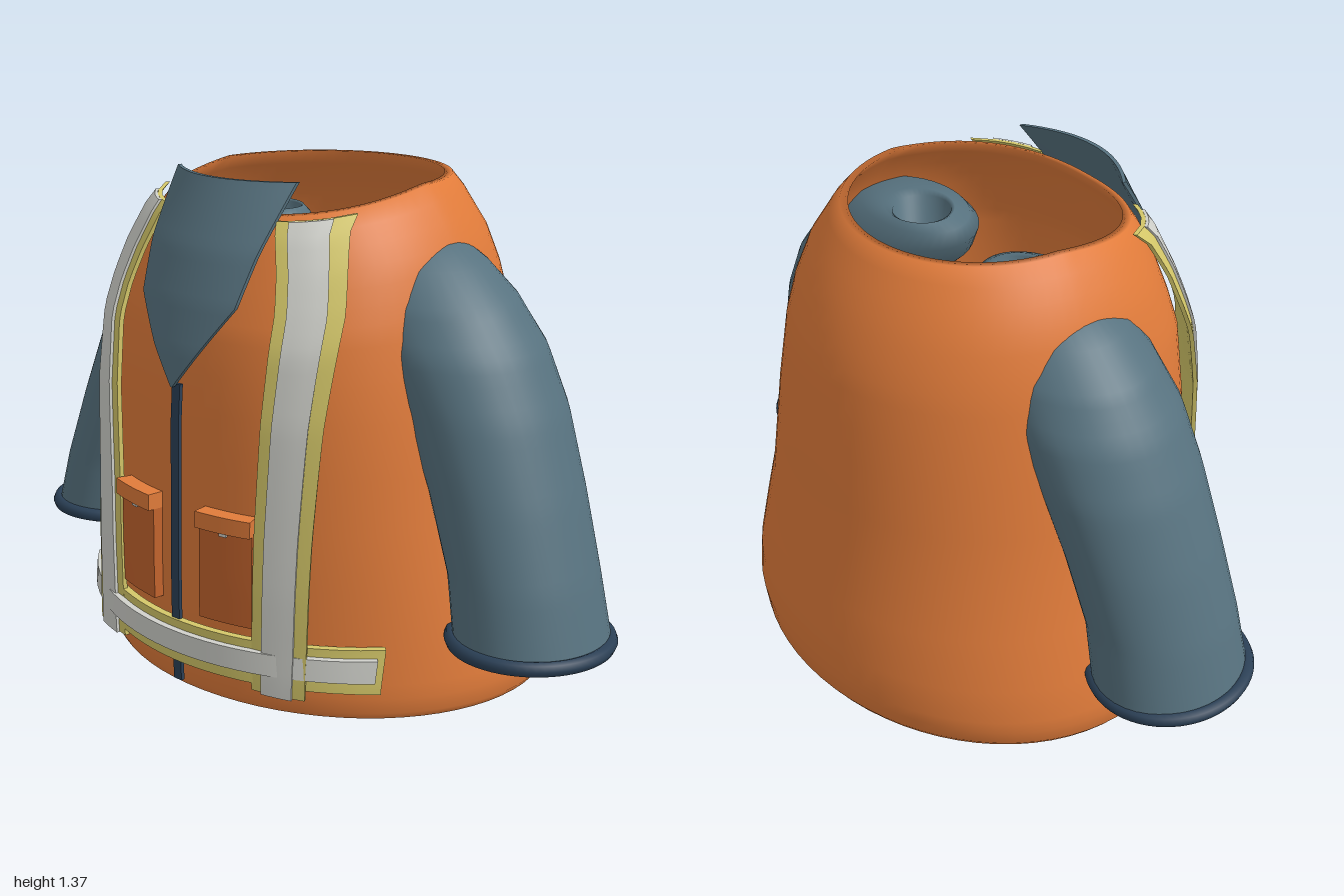
import * as THREE from 'three';

const mat = (name, color, side = THREE.FrontSide) =>
  Object.assign(new THREE.MeshStandardMaterial({ color, side }), { name });

// Body profile rows: height, half width, front z, back z, squareness of the front
const BODY = [
  [0, 0.675, 0.545, -0.585, 2], [0.02, 0.69, 0.555, -0.598, 2], [0.1, 0.69, 0.557, -0.61, 2],
  [0.2, 0.67, 0.557, -0.607, 2], [0.35, 0.635, 0.555, -0.585, 2.1], [0.5, 0.6, 0.55, -0.56, 2.2],
  [0.8, 0.555, 0.54, -0.53, 2.35], [1.0, 0.52, 0.52, -0.503, 2.4], [1.1, 0.495, 0.49, -0.475, 2.4],
  [1.2, 0.46, 0.455, -0.433, 2.4], [1.3, 0.4, 0.42, -0.375, 2.4], [1.34, 0.365, 0.4, -0.347, 2.4],
];

// Linear lookup in a table keyed by its first column
function lookup(table, t) {
  let i = 0;
  while (i < table.length - 2 && t > table[i + 1][0]) i++;
  const a = table[i], b = table[i + 1];
  const k = THREE.MathUtils.clamp((t - a[0]) / (b[0] - a[0]), 0, 1);
  return a.slice(1).map((v, j) => v + (b[j + 1] - v) * k);
}

// The neckline sinks towards the front
const sink = (y, z) => y - 0.15 * Math.max(z, 0) * Math.pow(y / 1.34, 4);

// Joins closed rings of points into a smooth skin
function loft(rings) {
  const n = rings[0].length, idx = [];
  for (let i = 0; i < rings.length - 1; i++)
    for (let j = 0; j < n; j++) {
      const a = i * n + j, c = i * n + (j + 1) % n;
      idx.push(a, a + n, c, c, a + n, c + n);
    }
  const g = new THREE.BufferGeometry();
  g.setAttribute('position', new THREE.Float32BufferAttribute(rings.flat(2), 3));
  g.setIndex(idx);
  g.computeVertexNormals();
  return g;
}

function bodyRing(y, inset) {
  const [w, zf, zb, e] = lookup(BODY, y), zc = (zf + zb) / 2, d = (zf - zb) / 2 - inset;
  return Array.from({ length: 72 }, (_, j) => {
    const a = j / 72 * Math.PI * 2, c = Math.cos(a), s = Math.sin(a);
    const p = s > 0 ? 2 / e : 1;
    const x = (w - inset) * Math.sign(c) * Math.pow(Math.abs(c), p);
    const z = zc + d * Math.sign(s) * Math.pow(Math.abs(s), p);
    return [x, sink(y, z), z];
  });
}

// Point on the front of the body, lifted outwards; extra makes the curve flatter than the body
function onFront(x, y, lift, extra = 0) {
  const [w, zf, zb, e] = lookup(BODY, y), zc = (zf + zb) / 2, d = (zf - zb) / 2, q = e + extra;
  const f = Math.pow(1 - Math.pow(Math.min(Math.abs(x) / w, 0.99), q), 1 / q);
  const n = new THREE.Vector2(x / (w * w), f / d).normalize();
  const z = zc + d * f;
  return [x + n.x * lift, sink(y, z), z + n.y * lift];
}

// Subdivided box bent by a rule of (u, v, t), each from -0.5 to 0.5
function bent(nu, nv, rule) {
  const g = new THREE.BoxGeometry(1, 1, 1, nu, nv, 1), p = g.attributes.position;
  for (let i = 0; i < p.count; i++) p.setXYZ(i, ...rule(p.getX(i), p.getY(i), p.getZ(i)));
  g.computeVertexNormals();
  return g;
}

// Plate fitted to the body front between two lifts
const plate = (x0, x1, y0, y1, lo, hi, extra) => bent(24, 8, (u, v, t) =>
  onFront(x0 + (x1 - x0) * (u + 0.5), y0 + (y1 - y0) * (v + 0.5), lo + (hi - lo) * (t + 0.5), extra));

// Shoulder strap centre line: height, x
const STRAP = [[0.07, 0.316], [0.5, 0.322], [0.8, 0.335], [1.0, 0.342], [1.1, 0.335], [1.2, 0.312], [1.335, 0.266]];
const strap = (s, half, y0, lo, hi) => bent(4, 36, (u, v, t) => {
  const y = y0 + (1.335 - y0) * (v + 0.5);
  return onFront(s * lookup(STRAP, y)[0] + u * 2 * half, y, lo + (hi - lo) * (t + 0.5), 0.5);
});

// Sleeve rings: height, outer x, inner x, front z, back z; the last ones sink into the shoulder hole
const SLEEVE = [
  [0.23, 0.975, 0.59, 0.295, -0.15], [0.4, 0.93, 0.56, 0.28, -0.15], [0.6, 0.865, 0.48, 0.265, -0.17],
  [0.8, 0.79, 0.38, 0.255, -0.195], [0.95, 0.715, 0.26, 0.25, -0.205], [1.07, 0.625, 0.13, 0.225, -0.19],
  [1.15, 0.535, 0.08, 0.19, -0.16], [1.2, 0.45, 0.085, 0.14, -0.125], [1.22, 0.33, 0.12, 0.085, -0.1],
  [1.215, 0.29, 0.13, 0.07, -0.09], [1.13, 0.28, 0.14, 0.06, -0.08], [1.12, 0.212, 0.208, -0.008, -0.012],
];
const ovalRing = ([y, xo, xi, zf, zb], s, n = 40) => Array.from({ length: n }, (_, j) => {
  const a = s * j / n * Math.PI * 2;
  return [s * ((xo + xi) / 2 + (xo - xi) / 2 * Math.cos(a)), y, (zf + zb) / 2 + (zf - zb) / 2 * Math.sin(a)];
});

export function createModel() {
  const orange = mat('orange cloth', 0xe07b3a);
  const rust = mat('pocket orange', 0xc2632d);
  const blue = mat('blue cloth', 0x57727f, THREE.DoubleSide);
  const navy = mat('navy trim', 0x2b4056);
  const yellow = mat('yellow tape', 0xd4c769);
  const silver = mat('silver tape', 0xd0d1cb);
  const model = new THREE.Group();
  const vest = new THREE.Group();
  vest.name = 'vest';
  vest.position.x = -0.01;
  model.add(vest);
  const add = (parent, name, geo, m) => {
    const mesh = new THREE.Mesh(geo, m);
    mesh.name = name;
    parent.add(mesh);
    return mesh;
  };

  // Double-walled body shell, open at neck and hem
  const ys = [0, 0.02, 0.06, 0.1, 0.2, 0.35, 0.5, 0.65, 0.8, 0.9, 1, 1.05, 1.1, 1.15, 1.2, 1.25, 1.3, 1.34];
  const rings = [...ys.map(y => bodyRing(y, 0)), ...ys.slice().reverse().map(y => bodyRing(y, 0.022)), bodyRing(0, 0)];
  add(vest, 'body', loft(rings), orange);

  // Reflective straps, pockets and flaps on both sides
  for (const s of [1, -1]) {
    add(vest, 'strapYellow', strap(s, 0.073, 0.07, 0.002, 0.014), yellow);
    add(vest, 'strapSilver', strap(s, 0.042, 0.068, 0.014, 0.022), silver);
    const c = s * 0.16;
    add(vest, 'pocket', plate(c - 0.077, c + 0.077, 0.24, 0.5, 0, 0.028), rust);
    add(vest, 'pocketFlap', plate(c - 0.078, c + 0.078, 0.495, 0.54, 0, 0.045), orange);
    add(vest, 'pocketSnap', plate(c - 0.01, c + 0.01, 0.483, 0.497, 0.028, 0.036), silver);
  }

  // Reflective belt across the front
  add(vest, 'beltYellow', plate(-0.53, 0.518, 0.09, 0.21, 0.016, 0.036, -0.04), yellow);
  add(vest, 'beltSilver', plate(-0.524, 0.505, 0.127, 0.187, 0.036, 0.054, -0.04), silver);

  // Zip
  add(vest, 'zip', plate(-0.014, 0.014, 0.03, 0.87, 0.018, 0.029), navy);

  // Pointed front collar: height, half width, centre z, curvature
  const COLLAR = [[0.85, 0.002, 0.573, 0.9], [0.95, 0.08, 0.56, 0.9], [1.07, 0.168, 0.533, 0.9],
    [1.2, 0.19, 0.492, 1.2], [1.37, 0.215, 0.41, 1.75]];
  add(vest, 'collar', bent(16, 26, (u, v, t) => {
    const y = 1.11 + v * 0.52, [half, z, k] = lookup(COLLAR, y), x = u * 2 * half;
    return [x, y, z - k * x * x + t * 0.012];
  }), blue);

  // Sleeves with rolled cuffs
  for (const s of [1, -1]) {
    const arm = new THREE.Group();
    arm.name = s > 0 ? 'leftSleeve' : 'rightSleeve';
    model.add(arm);
    const rows = Array.from({ length: 34 }, (_, i) => 0.23 + i * 0.029).filter(y => y < 1.06)
      .map(y => [y, ...lookup(SLEEVE, y)]);
    add(arm, 'sleeve', loft([...rows, ...SLEEVE.slice(5)].map(r => ovalRing(r, s))), blue);
    const path = ovalRing([0.228, 0.977, 0.585, 0.294, -0.142], s, 24)
      .map(([x, y, z]) => new THREE.Vector3(x, y + 0.04 * (z - 0.07), z));
    add(arm, 'cuff', new THREE.TubeGeometry(new THREE.CatmullRomCurve3(path, true), 64, 0.02, 8, true), navy);
  }

  // Small fold hanging from the left cuff
  const fold = add(model, 'cuffFold', new THREE.SphereGeometry(1, 16, 10), blue);
  fold.scale.set(0.08, 0.025, 0.035);
  fold.position.set(0.79, 0.203, -0.11);
  return model;
}
